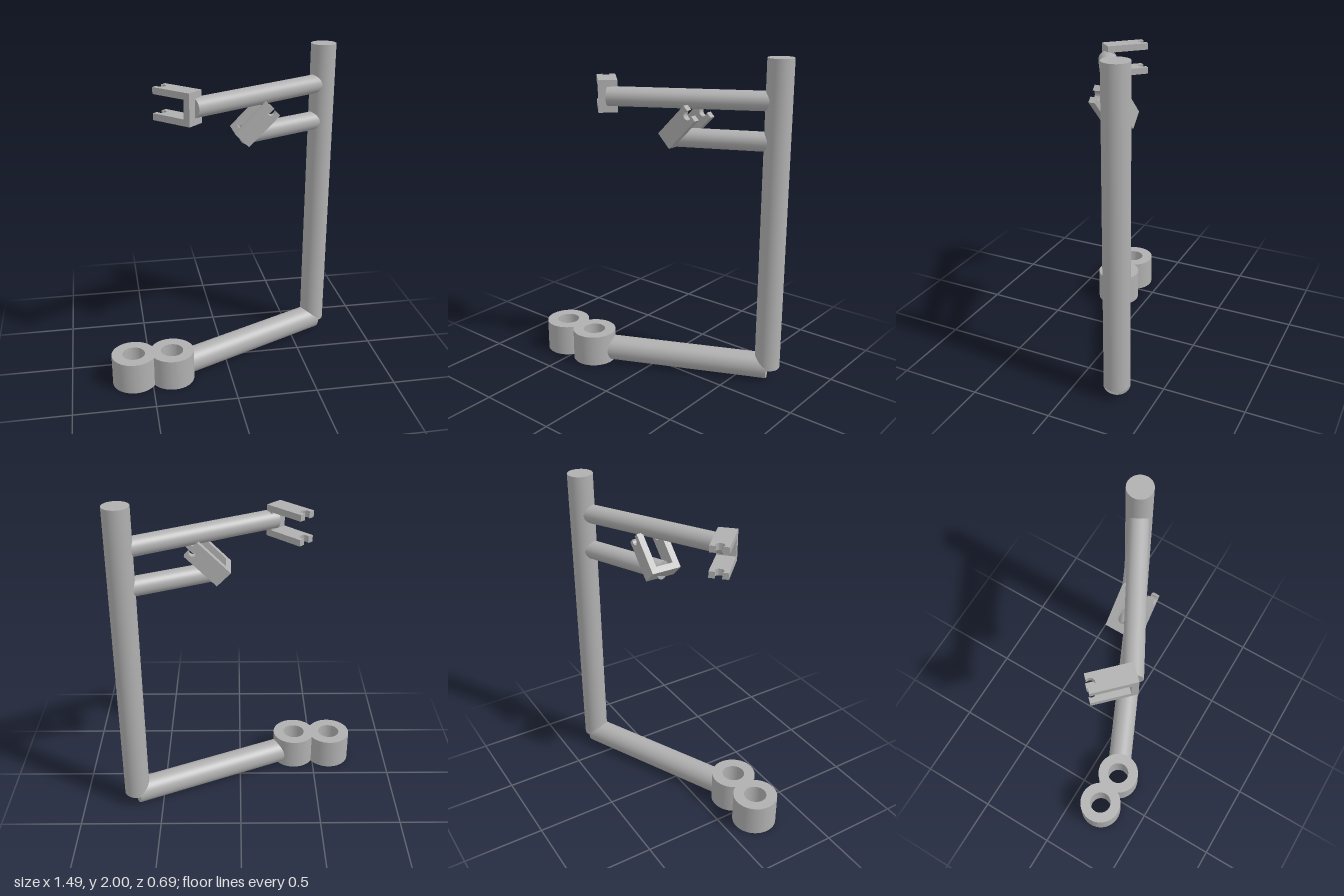
import * as THREE from 'three';
import { toCreasedNormals } from 'three/addons/utils/BufferGeometryUtils.js';

const V = (x, y, z) => new THREE.Vector3(x, y, z);

export function createModel() {
  const model = new THREE.Group();
  const grey = new THREE.MeshStandardMaterial({ color: 0xb0b0b0 });
  grey.name = 'plain grey';

  function add(name, geometry, parent = model) {
    const mesh = new THREE.Mesh(geometry, grey);
    mesh.name = name;
    parent.add(mesh);
    return mesh;
  }

  // Round bar between two points
  function bar(name, from, to, radius) {
    const dir = to.clone().sub(from);
    const mesh = add(name, new THREE.CylinderGeometry(radius, radius, dir.length(), 48));
    mesh.position.copy(from).addScaledVector(dir, 0.5);
    mesh.quaternion.setFromUnitVectors(V(0, 1, 0), dir.normalize());
  }

  const extrude = (shape, depth) => toCreasedNormals(
    new THREE.ExtrudeGeometry(shape, { depth, bevelEnabled: false, curveSegments: 40 }), 0.5);

  // Upright post and the three arms that meet at its axis
  const px = 0.667, pz = -0.272;
  bar('post', V(px, 0.08, pz), V(px, 2, pz), 0.078);
  bar('lowerArm', V(px, 0.08, pz), V(-0.302, 0.08, 0.174), 0.08);
  bar('middleArm', V(px, 1.517, pz), V(0.12, 1.517, -0.021), 0.058);
  bar('upperArm', V(px, 1.754, pz), V(-0.212, 1.754, 0.204), 0.058);

  // Twin ring socket, a figure eight with two bores
  const R = 0.138, half = 0.12, a = Math.acos(half / R);
  const eight = new THREE.Shape();
  eight.absarc(-half, 0, R, a, 2 * Math.PI - a, false);
  eight.absarc(half, 0, R, a - Math.PI, Math.PI - a, false);
  eight.closePath();
  for (const x of [-half, half]) {
    const bore = new THREE.Path();
    bore.absarc(x, 0, 0.07, 0, 2 * Math.PI, true);
    eight.holes.push(bore);
  }
  const rings = add('twinRingSocket', extrude(eight, 0.2));
  rings.rotation.x = -Math.PI / 2;
  rings.position.set(-0.49, 0, 0.207);

  // Forked bracket: base at x = 0, notched plates reaching along +x
  const length = 0.262, width = 0.115, height = 0.192, t = 0.04;
  function bracket(name) {
    const group = new THREE.Group();
    group.name = name;
    model.add(group);
    add('bracketBase', new THREE.BoxGeometry(t, width, height), group).position.x = t / 2;

    const w = width / 2, r = 0.027, cx = length - 0.018;
    const open = Math.acos((length - cx) / r);
    const plate = new THREE.Shape();
    plate.moveTo(t, -w);
    plate.lineTo(length, -w);
    plate.absarc(cx, 0, r, -open, open - 2 * Math.PI, true);
    plate.lineTo(length, w);
    plate.lineTo(t, w);
    plate.closePath();
    for (const z of [-height / 2, height / 2 - t])
      add('notchedPlate', extrude(plate, t), group).position.z = z;
    return group;
  }

  const upper = bracket('upperBracket');
  upper.position.set(-0.2, 1.754, 0.217);
  upper.rotation.set(-Math.PI / 2, Math.PI * 0.75, 0, 'YXZ');

  const middle = bracket('middleBracket');
  middle.position.set(0.096, 1.502, -0.032);
  middle.rotation.z = Math.PI / 4;

  return model;
}
